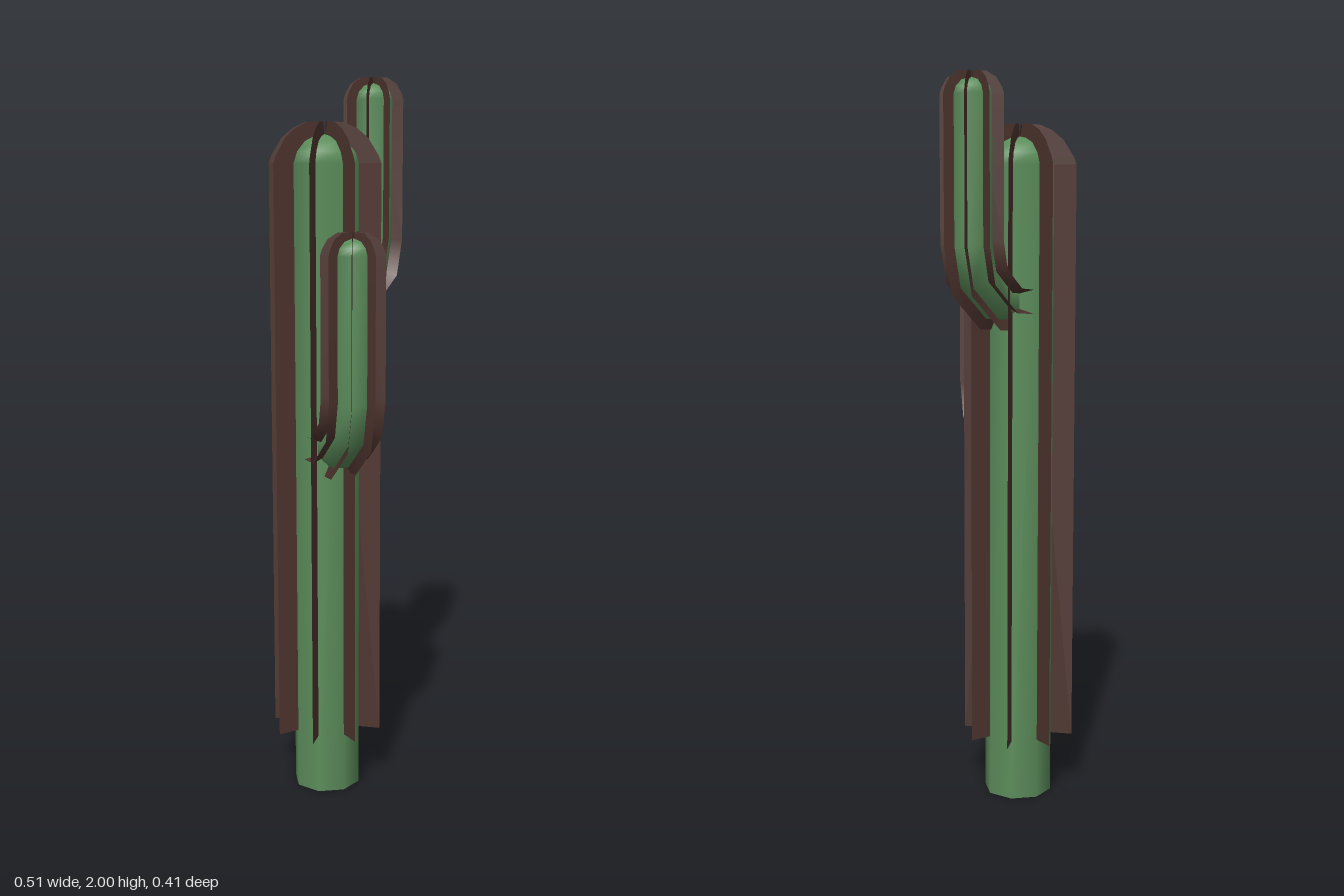
import * as THREE from 'three';
import { mergeGeometries } from 'three/addons/utils/BufferGeometryUtils.js';

const SIDES = 8;
const UP = Math.PI / 2;
const sideAngle = (i) => ((i + 0.5) / SIDES) * Math.PI * 2;

// A section: centre x, y, tilt of the axis, radius, shift along the axis, mitre stretch
const section = (x, y, tilt, r, lift = 0, mitre = 1) => ({ x, y, tilt, r, lift, mitre });

// Point on the rim of a section at angle a
function rim({ x, y, tilt, r, lift, mitre }, a) {
  const c = Math.cos(tilt), s = Math.sin(tilt), n = mitre * r * Math.cos(a);
  return [x + n * s + lift * c, y - n * c + lift * s, r * Math.sin(a)];
}

function geometryFrom(points, index) {
  const g = new THREE.BufferGeometry();
  g.setAttribute('position', new THREE.Float32BufferAttribute(points.flat(), 3));
  g.setIndex(index);
  g.computeVertexNormals();
  return g;
}

// Octagonal skin through the sections
function skin(sections) {
  const points = [], index = [];
  sections.forEach((s, k) => {
    for (let i = 0; i < SIDES; i++) {
      points.push(rim(s, sideAngle(i)));
      if (k === sections.length - 1) continue;
      const a = k * SIDES + i, b = k * SIDES + ((i + 1) % SIDES);
      index.push(a, a + SIDES, b, b, a + SIDES, b + SIDES);
    }
  });
  return geometryFrom(points, index);
}

// One flat fin per corner, from the axis out to the rim
function fins(sections) {
  const strips = [];
  for (let i = 0; i < SIDES; i++) {
    const points = [], index = [];
    sections.forEach((s, k) => {
      points.push([s.x, s.y, 0], rim(s, sideAngle(i)));
      if (k < sections.length - 1) {
        const a = 2 * k;
        index.push(a, a + 2, a + 1, a + 1, a + 2, a + 3);
      }
    });
    strips.push(geometryFrom(points, index));
  }
  return mergeGeometries(strips);
}

// Rounded end from [radius, height] pairs
const dome = (x, y, profile) => profile.map(([r, h]) => section(x, y, UP, r, h));

export function createModel() {
  const green = new THREE.MeshStandardMaterial({ color: 0x5b8c5a });
  green.name = 'cactusGreen';
  const brown = new THREE.MeshStandardMaterial({ color: 0x4e342e, side: THREE.DoubleSide });
  brown.name = 'finBrown';

  const add = (parent, name, geometry, material) => {
    const mesh = new THREE.Mesh(geometry, material);
    mesh.name = name;
    parent.add(mesh);
  };

  const cactus = new THREE.Group();
  cactus.name = 'cactus';
  cactus.position.set(-0.05, 0, -0.065);

  // Trunk with closed foot and rounded top
  const trunk = new THREE.Group();
  trunk.name = 'trunk';
  const foot = [0, 0.095, 0.095].map((r) => section(0, 0, UP, r));
  add(trunk, 'trunkBody', skin([...foot,
    ...dome(0, 1.77, [[0.095, 0], [0.084, 0.03], [0.06, 0.057], [0.03, 0.07], [0, 0.075]])]), green);
  add(trunk, 'trunkFins', fins([section(0, 0.17, UP, 0.156),
    ...dome(0, 1.77, [[0.156, 0], [0.148, 0.02], [0.12, 0.065], [0.09, 0.09], [0.055, 0.106],
      [0.014, 0.108], [0, 0.07]])]), brown);
  cactus.add(trunk);

  // Arm elbow: leaves the trunk level, bends upward in three steps
  const elbow = (r) => [
    section(0.05, 1.405, 0, r),
    section(0.115, 1.41, 0.3, r, 0, 1.05),
    section(0.203, 1.476, 0.97, r, 0, 1.06),
    section(0.224, 1.56, 1.45, r, 0, 1.01),
  ];
  const armBody = skin([...elbow(0.054),
    ...dome(0.225, 1.94, [[0.054, 0], [0.047, 0.02], [0.03, 0.036], [0, 0.044]])]);
  const armFins = fins([...elbow(0.085),
    ...dome(0.225, 1.94, [[0.085, 0], [0.08, 0.017], [0.065, 0.042], [0.04, 0.058], [0.009, 0.06], [0, 0.035]])]);

  // Both arms share one shape, turned and lowered
  for (const [name, turn, drop] of [['leftArm', 0, 0], ['rightArm', -124, -0.4]]) {
    const arm = new THREE.Group();
    arm.name = name;
    arm.rotation.y = THREE.MathUtils.degToRad(turn);
    arm.position.y = drop;
    add(arm, name + 'Body', armBody, green);
    add(arm, name + 'Fins', armFins, brown);
    cactus.add(arm);
  }

  const model = new THREE.Group();
  model.name = 'model';
  model.add(cactus);
  return model;
}
